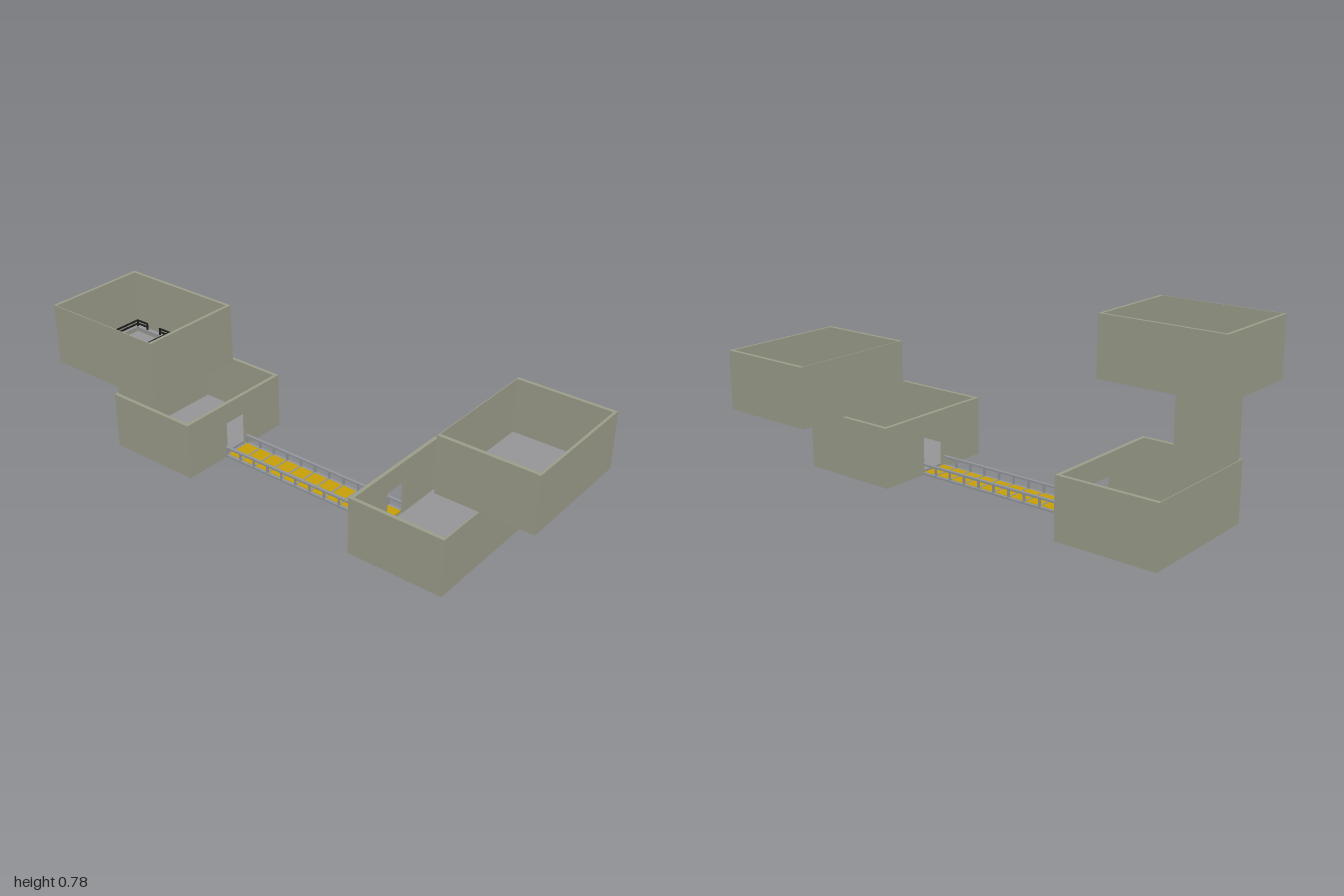
import * as THREE from 'three';

const wallMat = new THREE.MeshStandardMaterial({ color: 0x9c9e8b });
wallMat.name = 'concreteWall';
const floorMat = new THREE.MeshStandardMaterial({ color: 0x979799 });
floorMat.name = 'greyFloor';
const deckMat = new THREE.MeshStandardMaterial({ color: 0xc8a008 });
deckMat.name = 'yellowDeck';
const railMat = new THREE.MeshStandardMaterial({ color: 0x92979c });
railMat.name = 'railMetal';
const darkMat = new THREE.MeshStandardMaterial({ color: 0x1c1c1c });
darkMat.name = 'darkMetal';

// Box given by its two extreme corners
function box(parent, name, mat, x0, x1, y0, y1, z0, z1) {
  const mesh = new THREE.Mesh(new THREE.BoxGeometry(x1 - x0, y1 - y0, z1 - z0), mat);
  mesh.position.set((x0 + x1) / 2, (y0 + y1) / 2, (z0 + z1) / 2);
  mesh.name = name;
  parent.add(mesh);
}

// Horizontal slab with an optional rectangular hole [x0, x1, z0, z1]
function slab(parent, x0, x1, y, z0, z1, hole) {
  const rect = (P, a, b, c, d) => new P([
    new THREE.Vector2(a, -d), new THREE.Vector2(b, -d),
    new THREE.Vector2(b, -c), new THREE.Vector2(a, -c)]);
  const shape = rect(THREE.Shape, x0, x1, z0, z1);
  if (hole) shape.holes.push(rect(THREE.Path, ...hole));
  const geo = new THREE.ExtrudeGeometry(shape, { depth: 0.012, bevelEnabled: false });
  geo.rotateX(-Math.PI / 2);
  const mesh = new THREE.Mesh(geo, floorMat);
  mesh.position.y = y;
  mesh.name = 'floor';
  parent.add(mesh);
}

// Side wall in the z direction, with an optional doorway
const DOOR = { z0: -0.08, z1: 0.042, h: 0.165 };
function sideWall(parent, x0, x1, y0, y1, z0, z1, door) {
  if (!door) return box(parent, 'sideWall', wallMat, x0, x1, y0, y1, z0, z1);
  box(parent, 'doorWallBack', wallMat, x0, x1, y0, y1, z0, DOOR.z0);
  box(parent, 'doorWallFront', wallMat, x0, x1, y0, y1, DOOR.z1, z1);
  box(parent, 'doorLintel', wallMat, x0, x1, y0 + DOOR.h, y1, DOOR.z0, DOOR.z1);
}

// Open-topped room; t holds wall thicknesses [minX, maxX, back, front]
function room(name, [x0, x1], [y0, y1], [z0, z1], t, { hole, doorMin, doorMax } = {}) {
  const g = new THREE.Group();
  g.name = name;
  slab(g, x0 + t[0], x1 - t[1], y0, z0 + t[2], z1 - t[3], hole);
  sideWall(g, x0, x0 + t[0], y0, y1, z0, z1, doorMin);
  sideWall(g, x1 - t[1], x1, y0, y1, z0, z1, doorMax);
  box(g, 'backWall', wallMat, x0 + t[0], x1 - t[1], y0, y1, z0, z0 + t[2]);
  box(g, 'frontWall', wallMat, x0 + t[0], x1 - t[1], y0, y1, z1 - t[3], z1);
  return g;
}

// Footbridge with a yellow deck, crossbars and railings
function bridge() {
  const g = new THREE.Group();
  g.name = 'bridge';
  const x0 = -0.542, x1 = 0.31, n = 11, step = 0.0782;
  box(g, 'deck', deckMat, x0, x1, 0.003, 0.011, -0.076, 0.041);
  for (let i = 0; i < n; i++) {
    const x = x0 + 0.002 + i * step;
    box(g, 'crossbar', railMat, x - 0.004, x + 0.004, 0.002, 0.0125, -0.09, 0.055);
  }
  for (const z of [-0.083, 0.048]) {
    box(g, 'topRail', railMat, x0, x1, 0.043, 0.051, z - 0.007, z + 0.007);
    box(g, 'bottomRail', railMat, x0, x1, 0.002, 0.01, z - 0.007, z + 0.007);
    for (let i = 0; i < n; i++) {
      const x = x0 + 0.002 + i * step;
      box(g, 'post', railMat, x - 0.004, x + 0.004, 0.01, 0.043, z - 0.004, z + 0.004);
    }
  }
  return g;
}

// Lift shaft between the two stacked rooms, with a guard rail at the top
function liftShaft([x0, x1], [z0, z1]) {
  const g = new THREE.Group();
  g.name = 'liftShaft';
  const t = 0.006, y0 = 0.26, y1 = 0.52;
  for (const x of [x0, x1 - t]) box(g, 'shaftSide', wallMat, x, x + t, y0, y1, z0, z1);
  for (const z of [z0, z1 - t]) box(g, 'shaftWall', wallMat, x0 + t, x1 - t, y0, y1, z, z + t);
  box(g, 'liftPlatform', floorMat, x0 + t, x1 - t, 0.5, 0.51, z0 + t, z1 - t);
  const r = 0.006, seg = 0.065;
  for (const y of [0.54, 0.555]) {
    for (const x of [x0, x1 - r]) box(g, 'guardSide', darkMat, x, x + r, y, y + r, z0, z1 - 0.006);
    for (const z of [z0 - 0.004, z1 - 0.012]) {
      for (const x of [x0, x1 - seg]) box(g, 'guardRail', darkMat, x, x + seg, y, y + r, z, z + r);
    }
  }
  for (const z of [z0 - 0.004, z1 - 0.012]) {
    for (const x of [x0, x0 + seg - r, x1 - seg, x1 - r]) {
      box(g, 'guardPost', darkMat, x, x + r, 0.53, 0.56, z, z + r);
    }
  }
  return g;
}

export function createModel() {
  const model = new THREE.Group();
  model.name = 'roomComplex';
  const T = 0.017, thin = 0.004;
  const shaftX = [-0.981, -0.78], shaftZ = [0.115, 0.257];
  const shaftHole = [shaftX[0] + 0.006, shaftX[1] - 0.006, shaftZ[0] + 0.006, shaftZ[1] - 0.006];

  model.add(
    room('lowerRoomWithShaft', [-0.984, -0.542], [0, 0.259], [-0.306, 0.278],
      [thin, T, T, T], { hole: shaftHole, doorMax: true }),
    room('upperRoomWithShaft', [-1, -0.443], [0.518, 0.776], [0.088, 0.532],
      [T - 0.003, T - 0.003, T - 0.003, thin], { hole: shaftHole }),
    room('lowerRoom', [0.31, 0.75], [0, 0.259], [-0.306, 0.276],
      [T, thin, T, T], { doorMin: true }),
    room('upperRoom', [0.55, 0.992], [0.263, 0.521], [-0.532, 0.05],
      [thin, 0.012, T, T], { hole: [0.615, 0.68, -0.29, -0.22] }),
    bridge(),
    liftShaft(shaftX, shaftZ));
  return model;
}
